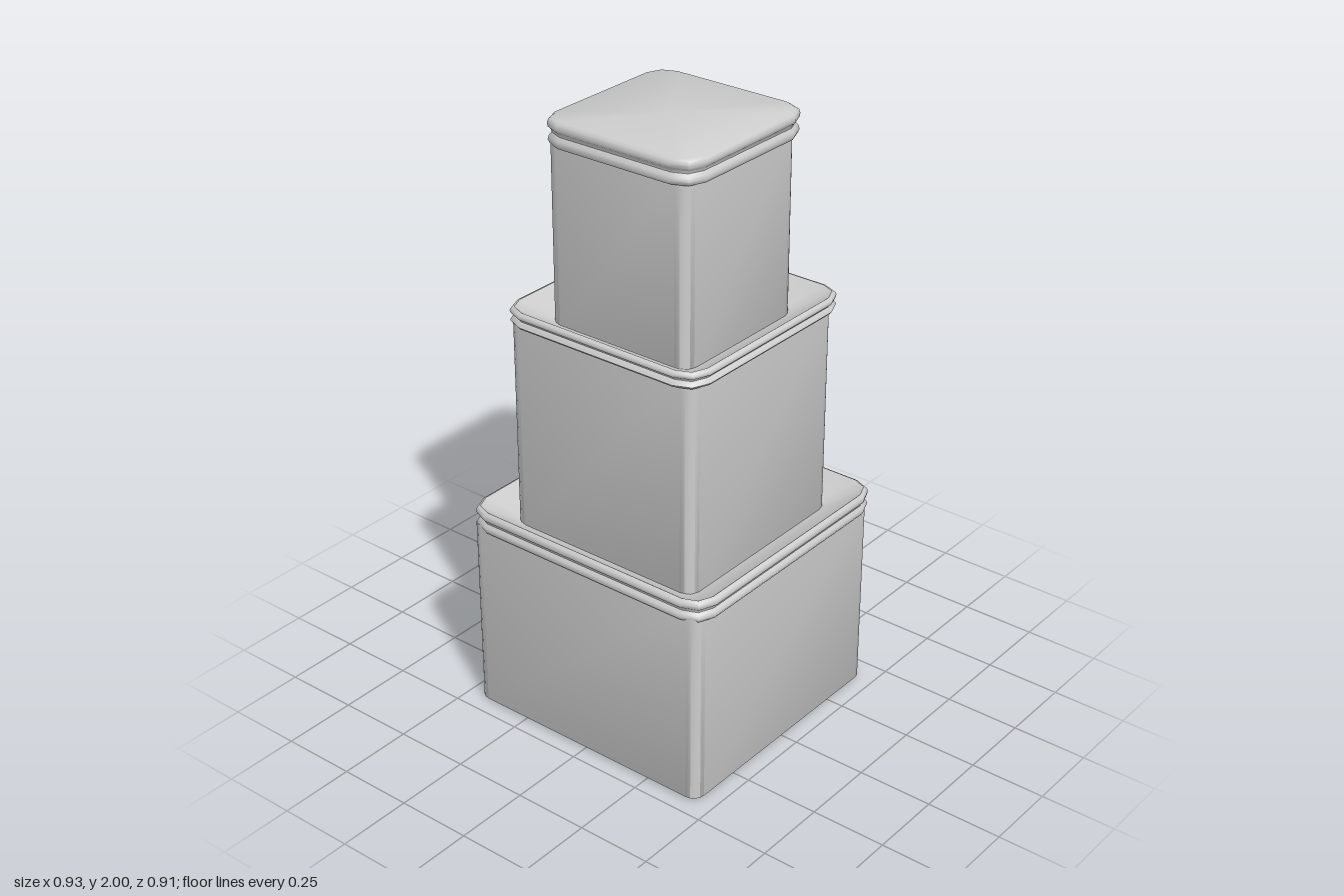
import * as THREE from 'three';
import { toCreasedNormals } from 'three/addons/utils/BufferGeometryUtils.js';

const material = new THREE.MeshStandardMaterial({ color: 0xcccccc });
material.name = 'plain grey';

// Rounded rectangle outline in the xz plane
function ring([y, hx, hz, r], steps) {
  const points = [];
  [[1, 1], [-1, 1], [-1, -1], [1, -1]].forEach(([sx, sz], q) => {
    for (let i = 0; i <= steps; i++) {
      const a = (q + i / steps) * Math.PI / 2;
      points.push([sx * (hx - r) + r * Math.cos(a), y, sz * (hz - r) + r * Math.sin(a)]);
    }
  });
  return points;
}

// Skin stacked outlines, closing the chosen ends
function loft(sections, steps, capBottom, capTop) {
  const n = 4 * (steps + 1);
  const last = (sections.length - 1) * n;
  const pos = sections.flatMap(s => ring(s, steps)).flat();
  const index = [];
  const centre = pos.length / 3;
  pos.push(0, sections[0][0], 0, 0, sections[sections.length - 1][0], 0);
  for (let j = 0; j < n; j++) {
    const k = (j + 1) % n;
    for (let o = 0; o < last; o += n) {
      index.push(o + j, o + n + j, o + k, o + k, o + n + j, o + n + k);
    }
    if (capBottom) index.push(centre, j, k);
    if (capTop) index.push(centre + 1, last + k, last + j);
  }
  const geo = new THREE.BufferGeometry();
  geo.setAttribute('position', new THREE.Float32BufferAttribute(pos, 3));
  geo.setIndex(index);
  return toCreasedNormals(geo, 0.87);
}

function add(parent, name, geo, x = 0, z = 0) {
  const mesh = new THREE.Mesh(geo, material);
  mesh.name = name;
  mesh.position.set(x, 0, z);
  parent.add(mesh);
}

// Box body with a two-bead rim; the rim funnels down to the next box or is closed flat
function tier(name, { base, rimBase, top, hx, hz, rx, rz, rimZ, inner }) {
  const group = new THREE.Group();
  group.name = name;
  const r = 0.04;
  add(group, name + 'Body', loft([
    [base, hx - 0.006, hz - 0.006, r],
    [base + 0.006, hx, hz, r],
    [rimBase + 0.02, hx, hz, r],
  ], 4, true, false), -0.005);

  const h = top - rimBase;
  const at = (t, inset) => [rimBase + h * t, rx - inset, rz - inset, 0.08 - inset];
  const profile = [
    at(0, 0.02), at(0.06, 0.007), at(0.2, 0.001), at(0.34, 0.004), at(0.46, 0.013),
    at(0.56, 0.011), at(0.66, 0.002), at(0.8, 0), at(0.93, 0.004), at(1, 0.014),
  ];
  if (inner) profile.push([top - 0.008, rx - 0.024, rz - 0.024, 0.06], [top - 0.065, inner, inner, 0.04]);
  add(group, name + 'Rim', loft(profile, 2, false, true), 0, rimZ);
  return group;
}

export function createModel() {
  const model = new THREE.Group();
  model.name = 'stackedBoxes';
  model.add(
    tier('lowerBox', { base: 0, rimBase: 0.645, top: 0.72, hx: 0.45, hz: 0.443, rx: 0.466, rz: 0.455, rimZ: 0, inner: 0.34 }),
    tier('middleBox', { base: 0.64, rimBase: 1.35, top: 1.405, hx: 0.35, hz: 0.349, rx: 0.371, rz: 0.374, rimZ: -0.004, inner: 0.25 }),
    tier('upperBox', { base: 1.32, rimBase: 1.915, top: 2, hx: 0.26, hz: 0.261, rx: 0.283, rz: 0.283, rimZ: -0.004 }),
  );

  // Round badge with a raised edge on the back of the middle box
  const outline = [[0.183, 0], [0.186, 0.012], [0.184, 0.021], [0.178, 0.026], [0.171, 0.026],
    [0.165, 0.021], [0, 0.021]].map(([x, y]) => new THREE.Vector2(x, y));
  const disc = toCreasedNormals(new THREE.LatheGeometry(outline, 40), 0.87);
  disc.rotateX(-Math.PI / 2);
  disc.translate(0, 1.045, -0.349);
  add(model, 'backDisc', disc);
  return model;
}
